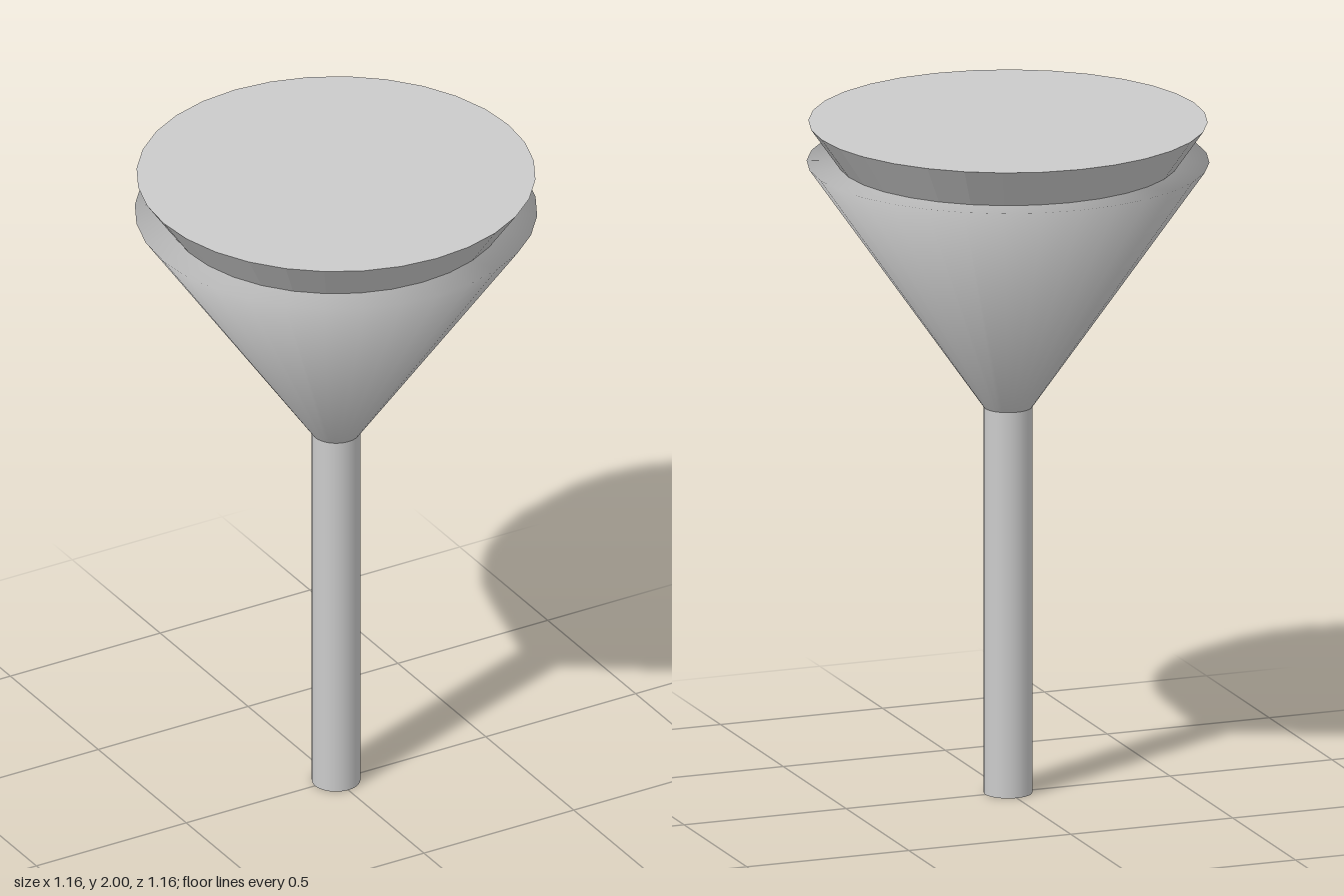
import * as THREE from 'three';
import { mergeVertices } from 'three/addons/utils/BufferGeometryUtils.js';

const SIDES = 32;

// Closed cylinder or cone frustum standing between two heights
function frustum(rTop, rBottom, y0, y1) {
  const geometry = new THREE.CylinderGeometry(rTop, rBottom, y1 - y0, SIDES);
  return geometry.translate(0, (y0 + y1) / 2, 0);
}

// Share vertices so the shading runs smoothly over the rim
function smoothOver(geometry) {
  geometry.deleteAttribute('normal');
  geometry.deleteAttribute('uv');
  const merged = mergeVertices(geometry);
  merged.computeVertexNormals();
  return merged;
}

export function createModel() {
  const group = new THREE.Group();
  const smooth = new THREE.MeshStandardMaterial({ color: 0xcccccc });
  const faceted = new THREE.MeshStandardMaterial({ color: 0xcccccc, flatShading: true });

  const add = (name, geometry, material) => {
    const mesh = new THREE.Mesh(geometry, material);
    mesh.name = name;
    group.add(mesh);
  };

  // Straight stem
  add('stem', frustum(0.07, 0.07, 0, 1.15), smooth);
  // Wide conical bowl with a closed top
  add('bowl', smoothOver(frustum(0.58, 0.07, 1.15, 1.88)), smooth);
  // Matching faceted cone rising out of the bowl
  add('filling', frustum(0.575, 0.065, 1.27, 2), faceted);

  return group;
}
